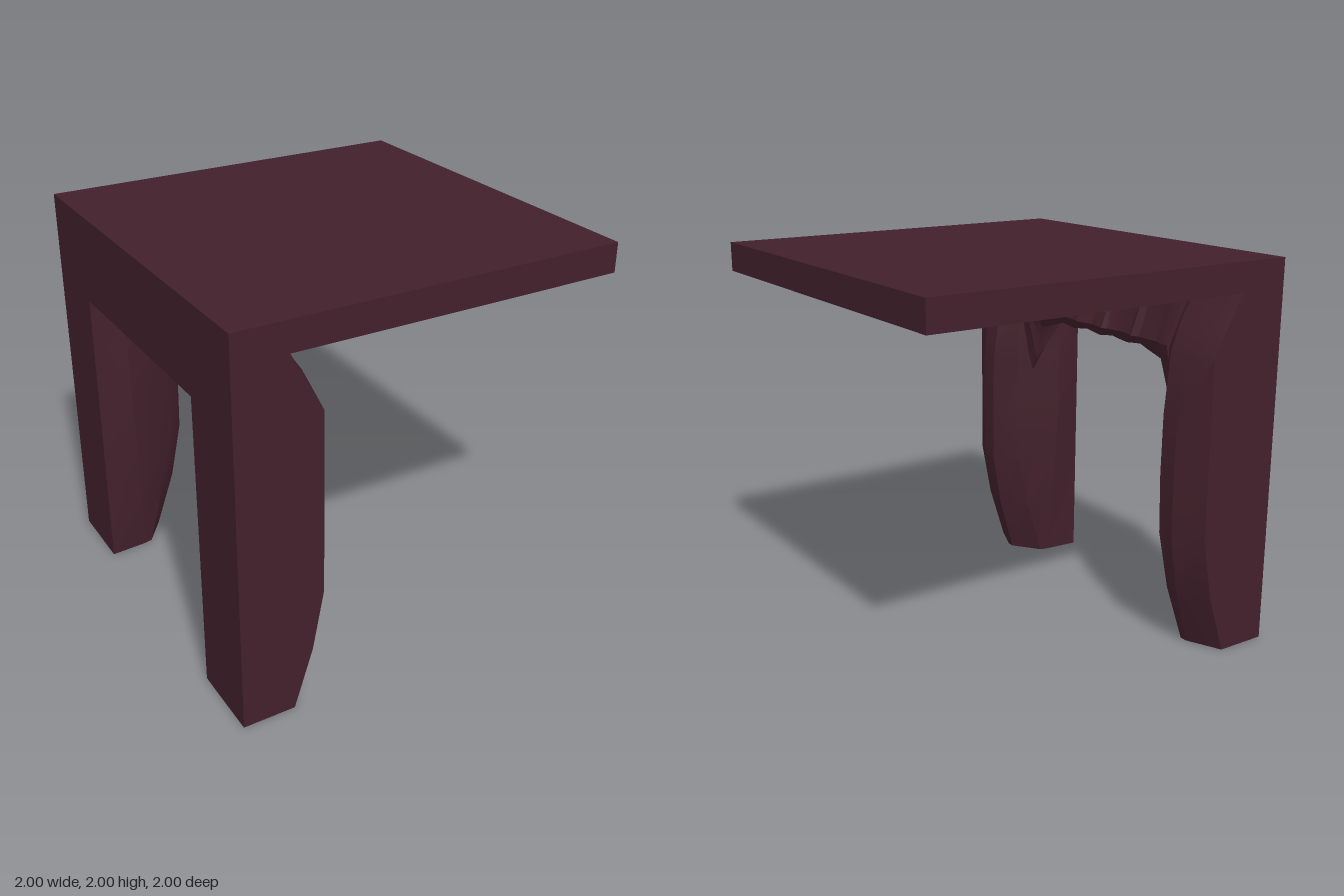
import * as THREE from 'three';
import { toCreasedNormals } from 'three/addons/utils/BufferGeometryUtils.js';

// Skins a stack of equal-length point rings (counterclockwise seen from the last ring) and caps both ends.
function loft(rings, crease) {
  const n = rings[0].length;
  const index = [];
  for (let i = 0; i < rings.length - 1; i++) {
    for (let j = 0; j < n; j++) {
      const k = (j + 1) % n;
      const a = i * n + j, b = i * n + k, c = b + n, d = a + n;
      index.push(a, b, c, a, c, d);
    }
  }
  const last = (rings.length - 1) * n;
  for (let j = 1; j < n - 1; j++) {
    index.push(0, j + 1, j);
    index.push(last, last + j, last + j + 1);
  }
  const geometry = new THREE.BufferGeometry();
  geometry.setAttribute('position', new THREE.Float32BufferAttribute(rings.flat(2), 3));
  geometry.setIndex(index);
  return toCreasedNormals(geometry, crease);
}

// Slab with a shallow dished underside: rings run from the dish floor over the rim to the top
function slabGeometry() {
  const rectangle = (y, left, right, half) => [
    [left, y, half], [right, y, half], [right, y, -half], [left, y, -half],
  ];
  return loft([
    rectangle(1.91, -0.6, 0.84, 0.84),
    rectangle(1.85, -0.72, 0.97, 0.97),
    rectangle(1.85, -1, 1, 1),
    rectangle(2, -1, 1, 1),
  ], 0.2);
}

// Leg sections: height, outer face edge x, bulge x, half width of the bulge, inner ridges [x, z]
const LEG = [
  [0, -0.73, -0.65, 0.02, [-0.76, 0.63], [-0.8, 0.62]],
  [0.31, -0.63, -0.55, 0.035, [-0.67, 0.645], [-0.81, 0.588]],
  [0.62, -0.57, -0.49, 0.045, [-0.6, 0.65], [-0.82, 0.572]],
  [0.93, -0.57, -0.485, 0.05, [-0.585, 0.65], [-0.83, 0.562]],
  [1.24, -0.57, -0.49, 0.05, [-0.59, 0.65], [-0.83, 0.575]],
  [1.55, -0.57, -0.53, 0.06, [-0.6, 0.65], [-0.82, 0.6]],
  [1.7, -0.65, -0.61, 0.08, [-0.66, 0.66], [-0.82, 0.6]],
  [1.86, -0.735, -0.72, 0.09, [-0.74, 0.67], [-0.84, 0.6]],
];

function legGeometry(side) {
  const rings = LEG.map(([y, face, bulge, w, outerRidge, innerRidge]) => {
    const ring = [
      [-1, 1], [face, 1], [bulge, 0.8 + w], [bulge, 0.8 - w],
      outerRidge, innerRidge, [-1, 0.605],
    ].map(([x, z]) => [x, y, side * z]);
    return side > 0 ? ring : ring.reverse();
  });
  return loft(rings, 0.45);
}

// Half of the scalloped rail: z, underside y, front x, shoulder y
const RAIL = [
  [0, 1.485, -0.625, 1.65],
  [0.11, 1.5, -0.6, 1.71],
  [0.14, 1.495, -0.62, 1.67],
  [0.23, 1.485, -0.63, 1.65],
  [0.32, 1.495, -0.62, 1.67],
  [0.35, 1.5, -0.6, 1.71],
  [0.39, 1.48, -0.62, 1.66],
  [0.53, 1.44, -0.62, 1.66],
  [0.55, 1.4, -0.61, 1.68],
  [0.58, 1.24, -0.6, 1.7],
  [0.63, 1.15, -0.6, 1.7],
];

function railGeometry() {
  const mirrored = RAIL.slice(1).reverse().map(([z, ...rest]) => [-z, ...rest]);
  const rings = [...mirrored, ...RAIL].map(([z, under, front, shoulder]) => [
    [-1, 1.55, z], [-0.86, Math.max(under + 0.02, 1.48), z], [-0.68, under, z], [front, 1.55, z],
    [-0.665, shoulder, z], [-0.72, 1.86, z], [-1, 1.86, z],
  ]);
  return loft(rings, 0.4);
}

export function createModel() {
  const model = new THREE.Group();
  const darkWood = new THREE.MeshStandardMaterial({ color: 0x42202b });
  darkWood.name = 'dark plum wood';

  const add = (name, geometry) => {
    const mesh = new THREE.Mesh(geometry, darkWood);
    mesh.name = name;
    model.add(mesh);
  };

  // Square slab
  add('topSlab', slabGeometry());

  // Two bulging legs along one edge
  add('frontLeg', legGeometry(1));
  add('backLeg', legGeometry(-1));

  // Scalloped rail joining the legs under the slab
  add('rail', railGeometry());

  return model;
}
